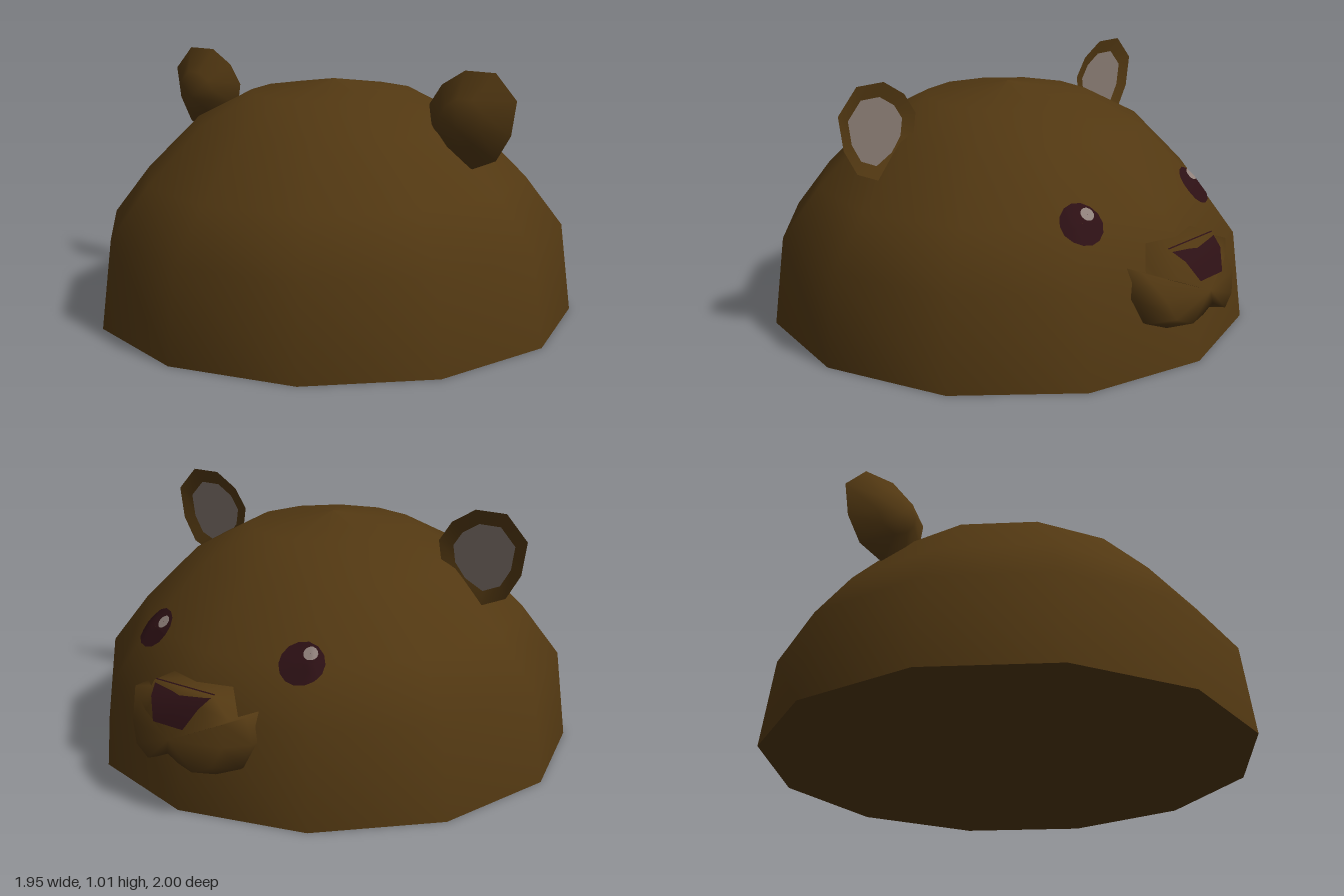
import * as THREE from 'three';

const mat = (name, color, side = THREE.FrontSide) => {
  const m = new THREE.MeshStandardMaterial({ color, side });
  m.name = name;
  return m;
};

// Skin between matching rings of [x, y, z] points, optionally closed with a centre point
function loft(rings, tip) {
  const n = rings[0].length, pos = rings.flat(2), idx = [];
  for (let i = 0; i < rings.length - 1; i++) {
    for (let j = 0; j < n; j++) {
      const a = i * n + j, b = i * n + (j + 1) % n;
      idx.push(a, b, b + n, a, b + n, a + n);
    }
  }
  if (tip) {
    const base = (rings.length - 1) * n;
    pos.push(...tip);
    for (let j = 0; j < n; j++) idx.push(base + j, base + (j + 1) % n, base + n);
  }
  const g = new THREE.BufferGeometry();
  g.setAttribute('position', new THREE.Float32BufferAttribute(pos, 3));
  g.setIndex(idx);
  g.computeVertexNormals();
  return g;
}

export function createModel() {
  const model = new THREE.Group();
  const fur = mat('brownFur', 0x523812);
  const dark = mat('darkMaroon', 0x2c1014, THREE.DoubleSide);
  const grey = mat('innerEarGrey', 0x85786f);
  const shine = mat('eyeShine', 0x8f807a);
  const add = (name, geo, material, parent = model) => {
    const m = new THREE.Mesh(geo, material);
    m.name = name;
    parent.add(m);
    return m;
  };

  // Domed head with twelve sides and a flat underside
  const profile = [[0.975, 0], [0.93, 0.355], [0.78, 0.55], [0.56, 0.77], [0.335, 0.885], [0, 0.935]];
  const domeGeo = new THREE.LatheGeometry(profile.map(p => new THREE.Vector2(...p)), 12);
  const dome = add('head', domeGeo.translate(0, 0, 0.02), fur);
  add('headUnderside', new THREE.CircleGeometry(0.975, 12).rotateX(Math.PI / 2).translate(0, 0, 0.02), fur);

  // Ears: bulging back, rim and recessed inner face
  const earOutline = [[0.855, 0.92], [0.765, 1.015], [0.635, 1.015], [0.535, 0.955], [0.48, 0.875],
    [0.495, 0.78], [0.56, 0.7], [0.67, 0.645], [0.775, 0.69], [0.835, 0.79]];
  for (const s of [1, -1]) {
    const ear = new THREE.Group();
    ear.name = s > 0 ? 'leftEar' : 'rightEar';
    model.add(ear);
    const outline = earOutline.map(([x, y]) => [s * x, y]);
    if (s < 0) outline.reverse();
    const cx = s * 0.665, cy = 0.825;
    const ring = (k, z) => outline.map(([x, y]) => [cx + (x - cx) * k, cy + (y - cy) * k, z]);
    add('earBack', loft([ring(1, 0.05), ring(0.5, 0.125)], [cx, 0.815, 0.165]), fur, ear);
    const outer = ring(1, 0.05).reverse(), inner = ring(0.7, 0.065).reverse();
    add('earRim', loft([outer, inner]), fur, ear);
    add('innerEar', loft([inner], [cx, cy, 0.065]), grey, ear);
  }

  // Muzzle with two rounded cheeks and a notch below
  const half = [[0, 0.46], [0.14, 0.46], [0.2, 0.375], [0.265, 0.4], [0.285, 0.3],
    [0.24, 0.2], [0.14, 0.16], [0.07, 0.19], [0, 0.23]];
  const muzzle = [...half, ...half.slice(1, -1).reverse().map(([x, y]) => [-x, y])];
  const layer = (k, depth) => muzzle.map(([x, y]) => {
    const px = x * k, py = 0.29 + (y - 0.29) * k;
    return [px, py, depth(px, py)];
  });
  add('muzzle', loft([
    layer(1, () => -0.74),
    layer(1, x => -0.91 + 0.5 * x * x),
    layer(0.75, (x, y) => -1 + x * x + 0.45 * Math.max(0, y - 0.28)),
  ], [0, 0.29, -0.99]), fur);

  // Nose: tapered patch folded over the muzzle top
  const noseRows = [[0.14, 0.463, -0.89], [0.112, 0.42, -0.95], [0.07, 0.345, -0.99]];
  const nosePos = noseRows.flatMap(([x, y, z]) => [x, y, z, -x, y, z]);
  const nose = new THREE.BufferGeometry();
  nose.setAttribute('position', new THREE.Float32BufferAttribute(nosePos, 3));
  nose.setIndex([0, 2, 1, 1, 2, 3, 2, 4, 3, 3, 4, 5]);
  nose.computeVertexNormals();
  add('nose', nose, dark);

  // Round patch laid onto the dome along normal n
  const ray = new THREE.Raycaster();
  function patch(c, n, radius, dx, dy, lift) {
    const t = new THREE.Vector3(0, 1, 0).cross(n).normalize();
    const u = n.clone().cross(t);
    const g = new THREE.RingGeometry(0.001, radius, 14, 4);
    const p = g.attributes.position;
    for (let i = 0; i < p.count; i++) {
      const o = c.clone().addScaledVector(t, p.getX(i) + dx).addScaledVector(u, p.getY(i) + dy);
      ray.set(o.clone().addScaledVector(n, 0.3), n.clone().negate());
      const hit = ray.intersectObject(dome)[0];
      const v = (hit ? hit.point : o).clone().addScaledVector(n, lift);
      p.setXYZ(i, v.x, v.y, v.z);
    }
    g.computeVertexNormals();
    return g;
  }

  // Eyes with a small shine
  for (const s of [1, -1]) {
    const side = s > 0 ? 'left' : 'right';
    const c = new THREE.Vector3(s * 0.345, 0.545, -0.655);
    const n = new THREE.Vector3(s * 0.33, 0.7, -0.65).normalize();
    add(side + 'Eye', patch(c, n, 0.085, 0, 0, 0.007), dark);
    add(side + 'EyeShine', patch(c, n, 0.027, 0.03, 0.035, 0.011), shine);
  }
  return model;
}
